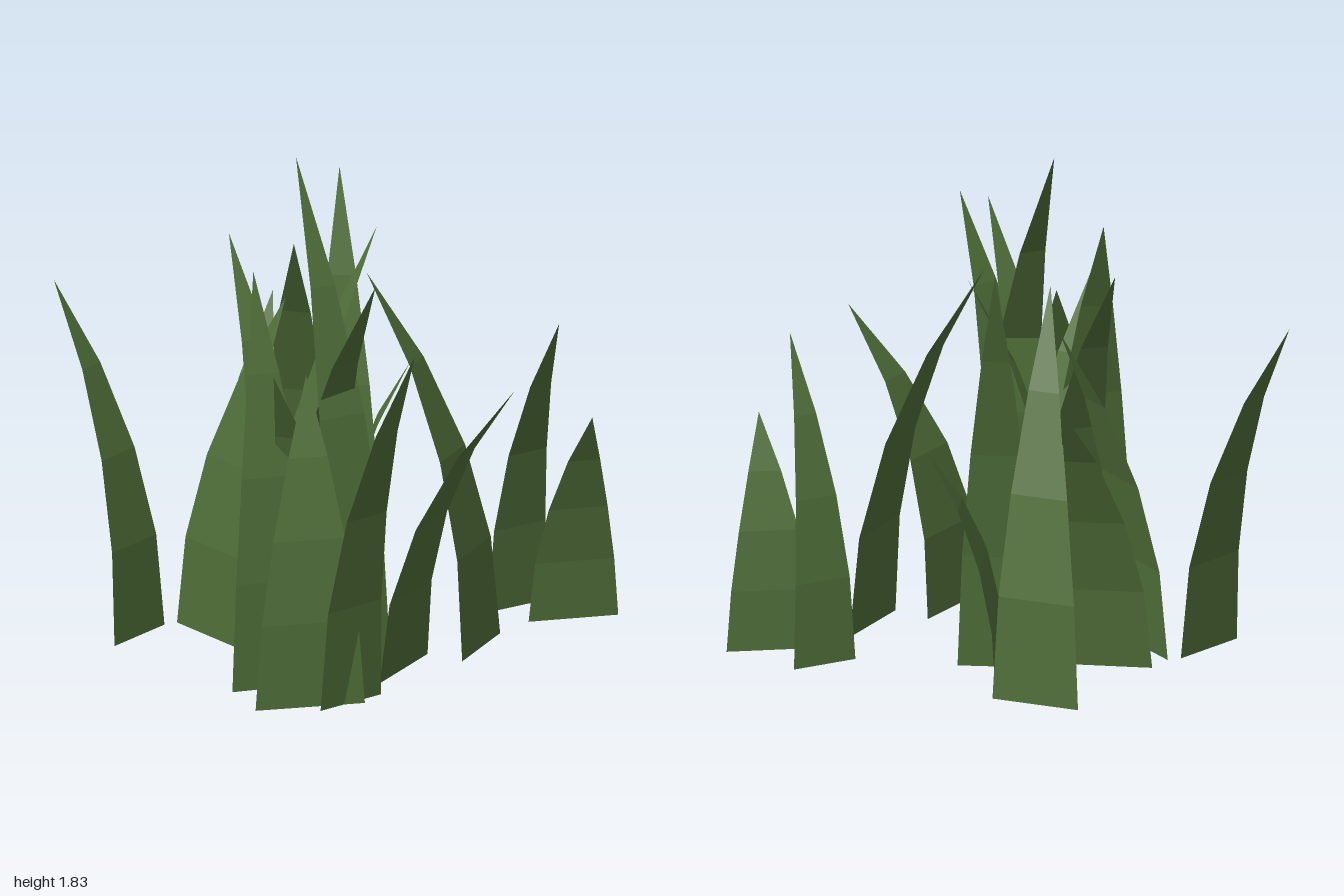
import * as THREE from 'three';

// Each blade: base corner A (x, z), base corner B (x, z), tip (x, z), height
const BLADES = [
  [-0.61, -0.23, -0.795, -0.02, -1.0, -0.30, 1.285],
  [0.54, -0.31, 0.75, -0.43, 0.785, -0.12, 1.16],
  [0.68, -0.21, 1.0, -0.27, 0.90, -0.05, 0.83],
  [0.575, -0.10, 0.43, 0.18, 0.10, -0.05, 1.39],
  [0.31, 0.10, 0.13, 0.39, 0.61, 0.36, 1.09],
  [0.13, 0.50, -0.09, 0.66, 0.24, 0.765, 1.375],
  [0.07, 0.585, -0.32, 0.65, -0.13, 0.36, 1.16],
  [-0.515, -0.33, -0.18, -0.31, -0.21, -0.66, 1.10],
  [-0.28, -0.765, 0.03, -0.67, -0.15, -0.27, 1.42],
  [-0.11, -0.355, 0.175, -0.35, 0.025, -0.62, 1.58],
  [0.02, -0.65, 0.00, -0.29, 0.27, -0.52, 0.87],
  [-0.315, 0.19, -0.05, 0.09, -0.38, -0.28, 1.46],
  [0.175, 0.28, -0.07, 0.39, -0.15, -0.065, 1.825],
  [-0.395, 0.46, -0.08, 0.38, -0.31, 0.165, 1.48],
  [0.01, -0.01, -0.25, 0.14, 0.115, 0.39, 1.50],
  [-0.25, 0.13, 0.04, 0.26, -0.25, 0.49, 1.20],
  [-0.565, -0.25, -0.35, 0.03, -0.18, -0.24, 1.23],
  [-0.26, -0.23, -0.15, 0.04, 0.145, -0.32, 1.46],
];

const SEGMENTS = 4;

// A flat strip that narrows to a point while bending over towards its tip
function bladeGeometry([ax, az, bx, bz, tx, tz, height]) {
  const cx = (ax + bx) / 2, cz = (az + bz) / 2;
  const positions = [], index = [];
  for (let i = 0; i < SEGMENTS; i++) {
    const t = i / SEGMENTS;
    const lean = Math.pow(t, 2);
    const width = 1 - Math.pow(t, 1.55);
    const y = height * (t + 0.09 * t * (1 - t));
    const mx = cx + (tx - cx) * lean, mz = cz + (tz - cz) * lean;
    positions.push(mx + (ax - cx) * width, y, mz + (az - cz) * width);
    positions.push(mx + (bx - cx) * width, y, mz + (bz - cz) * width);
    const k = i * 2;
    if (i < SEGMENTS - 1) index.push(k, k + 1, k + 2, k + 1, k + 3, k + 2);
    else index.push(k, k + 1, k + 2);
  }
  positions.push(tx, height, tz);
  const geometry = new THREE.BufferGeometry();
  geometry.setAttribute('position', new THREE.Float32BufferAttribute(positions, 3));
  geometry.setIndex(index);
  const flat = geometry.toNonIndexed();
  flat.computeVertexNormals();
  return flat;
}

export function createModel() {
  const group = new THREE.Group();
  group.name = 'grassTuft';
  const green = new THREE.MeshStandardMaterial({
    color: 0x4f6d38, flatShading: true, side: THREE.DoubleSide,
  });
  green.name = 'grass green';

  BLADES.forEach((blade, i) => {
    const mesh = new THREE.Mesh(bladeGeometry(blade), green);
    mesh.name = `grassBlade${i + 1}`;
    group.add(mesh);
  });
  return group;
}
